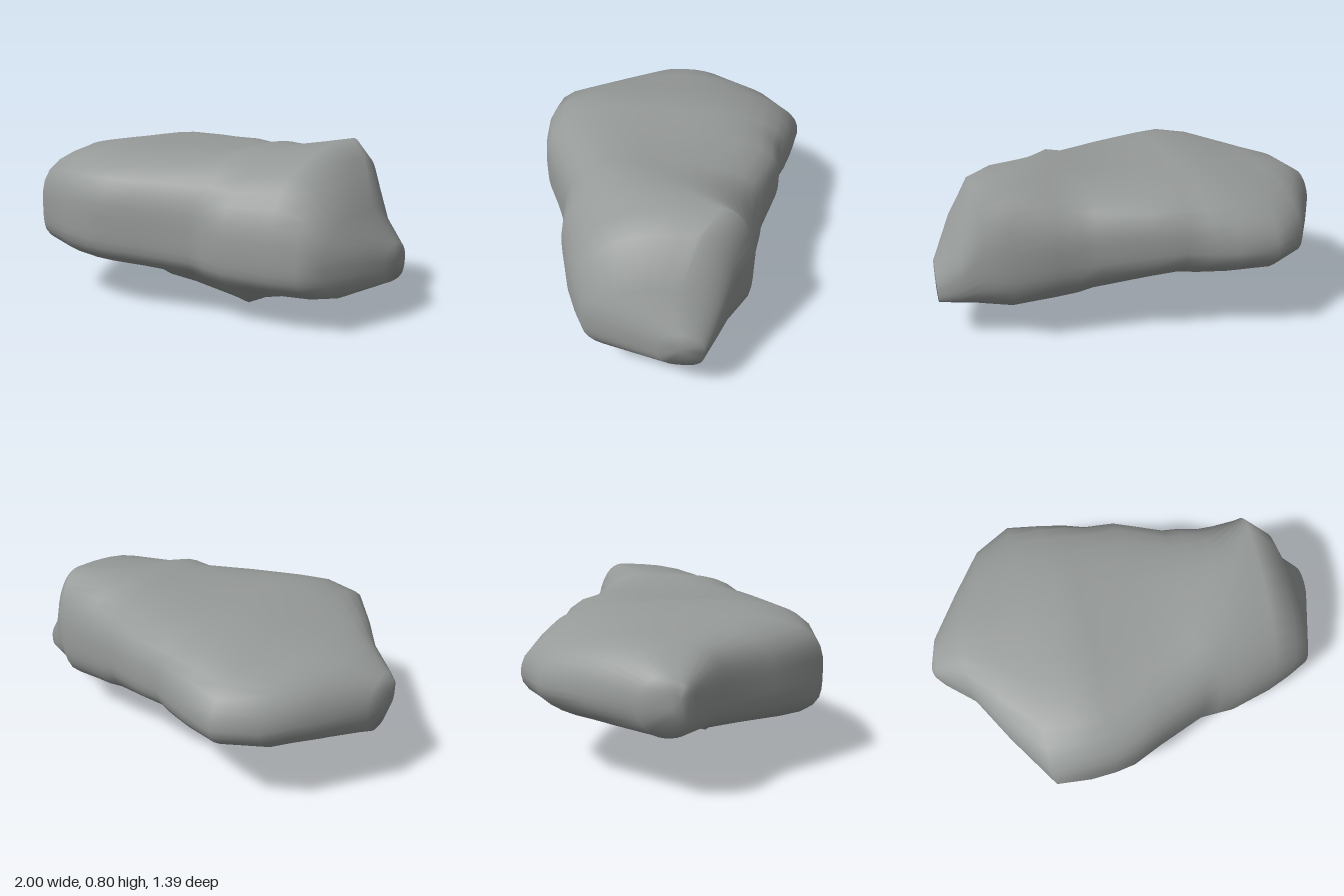
import * as THREE from 'three';

// Stations along x: [x, zFront, zBack, zTop, yTop, yBelly, yKeel]
const STATIONS = [
  [-1.00, 0.04, -0.03, 0.01, 0.55, 0.43, 0.43],
  [-0.97, 0.07, -0.17, -0.04, 0.59, 0.32, 0.32],
  [-0.83, 0.19, -0.39, -0.06, 0.675, 0.295, 0.295],
  [-0.69, 0.42, -0.60, -0.04, 0.70, 0.27, 0.27],
  [-0.51, 0.68, -0.70, 0.05, 0.73, 0.235, 0.23],
  [-0.34, 0.69, -0.66, 0.10, 0.76, 0.205, 0.17],
  [-0.21, 0.68, -0.62, 0.08, 0.755, 0.20, 0.07],
  [-0.11, 0.66, -0.58, 0.06, 0.75, 0.20, 0.06],
  [0.04, 0.59, -0.565, 0.05, 0.75, 0.19, 0.045],
  [0.28, 0.49, -0.48, 0.05, 0.755, 0.17, 0.015],
  [0.36, 0.485, -0.47, 0.04, 0.78, 0.16, 0.00],
  [0.46, 0.48, -0.45, -0.05, 0.77, 0.15, 0.05],
  [0.67, 0.42, -0.43, -0.28, 0.80, 0.14, 0.10],
  [0.79, 0.37, -0.35, -0.18, 0.74, 0.14, 0.125],
  [0.89, 0.32, -0.29, -0.08, 0.52, 0.155, 0.155],
  [1.00, -0.02, -0.23, -0.13, 0.37, 0.19, 0.19],
];
const SIDES = 40;

// One point of a rounded section: front -> top -> back -> keel
function sectionPoint([x, zFront, zBack, zTop, yTop, yBelly, yKeel], angle) {
  const c = Math.cos(angle), s = Math.sin(angle);
  const top = s >= 0, front = c >= 0;
  const yMean = (yTop + yBelly) / 2;
  const toEnd = THREE.MathUtils.smoothstep(x, 0, 0.5);
  const zKeel = (zFront + zBack) / 2 + 0.14 * (1 - x * x);

  // Squareness of each quarter of the section
  let n;
  if (top) n = front ? 3.4 - toEnd : 1.9 + 2 * (1 - Math.abs(x)) ** 2;
  else n = front ? 4.2 - 1.6 * x * x : 2.1 + 1.2 * toEnd;
  const r = (Math.abs(c) ** n + Math.abs(s) ** n) ** (-1 / n);
  const u = Math.abs(c) * r, v = Math.abs(s) * r;

  // The front bulge sinks toward +x
  const yMid = front
    ? Math.min(0.4 - 0.08 * x, yMean)
    : Math.min(0.46, yMean + 0.05 * (1 - x * x));
  const zMid = top ? zTop : zKeel;
  const z = zMid + ((front ? zFront : zBack) - zMid) * u;
  let y = yMid + ((top ? yTop : yBelly) - yMid) * v;

  // Keel hanging under the belly, steep to the front and long to the back
  if (!top) y += (yKeel - yBelly) * v * Math.max(0, 1 - Math.abs(z - zKeel) / (front ? 0.2 : 0.44));
  return [x, y, z];
}

function rockGeometry() {
  const positions = [], index = [];
  for (const station of STATIONS)
    for (let j = 0; j < SIDES; j++)
      positions.push(...sectionPoint(station, (j / SIDES) * Math.PI * 2));

  // Skin between neighbouring sections
  const last = STATIONS.length - 1;
  for (let i = 0; i < last; i++)
    for (let j = 0; j < SIDES; j++) {
      const k = (j + 1) % SIDES;
      const a = i * SIDES + j, b = a + SIDES, d = i * SIDES + k, c = d + SIDES;
      index.push(a, b, c, a, c, d);
    }

  // Closed ends
  for (const i of [0, last]) {
    const [x, zFront, zBack, , yTop, yBelly] = STATIONS[i];
    const centre = positions.length / 3;
    positions.push(x, (yTop + yBelly) / 2, (zFront + zBack) / 2);
    for (let j = 0; j < SIDES; j++) {
      const a = i * SIDES + j, b = i * SIDES + ((j + 1) % SIDES);
      if (i === 0) index.push(centre, a, b);
      else index.push(centre, b, a);
    }
  }

  const geometry = new THREE.BufferGeometry();
  geometry.setAttribute('position', new THREE.Float32BufferAttribute(positions, 3));
  geometry.setIndex(index);
  geometry.computeVertexNormals();
  return geometry;
}

export function createModel() {
  const model = new THREE.Group();
  model.name = 'boulder';
  const rock = new THREE.Mesh(rockGeometry(), new THREE.MeshStandardMaterial({ color: 0x969a98 }));
  rock.name = 'rock';
  model.add(rock);
  return model;
}
